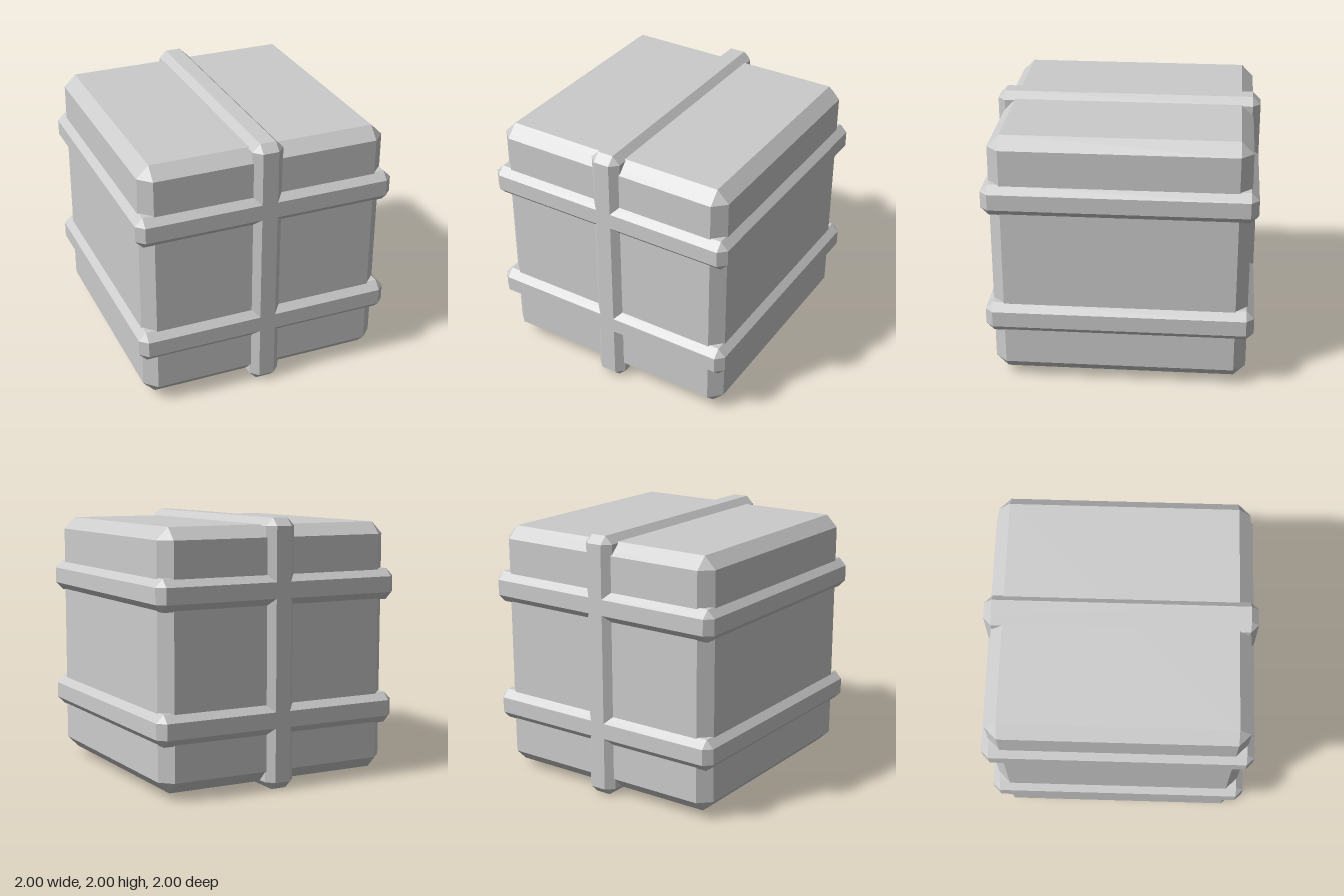
import * as THREE from 'three';
import { ConvexGeometry } from 'three/addons/geometries/ConvexGeometry.js';

const material = new THREE.MeshStandardMaterial({ color: 0xcccccc, flatShading: true });

// Box with flat bevels: each corner becomes three points, one on each adjoining face.
function chamferedBox(name, hx, hy, hz, bevel, y) {
  const points = [];
  for (const sx of [-1, 1]) for (const sy of [-1, 1]) for (const sz of [-1, 1]) {
    for (let axis = 0; axis < 3; axis++) {
      const inset = [bevel, bevel, bevel];
      inset[axis] = 0;
      points.push(new THREE.Vector3(sx * (hx - inset[0]), sy * (hy - inset[1]), sz * (hz - inset[2])));
    }
  }
  const mesh = new THREE.Mesh(new ConvexGeometry(points), material);
  mesh.name = name;
  mesh.position.y = y;
  return mesh;
}

export function createModel() {
  const model = new THREE.Group();
  model.name = 'strappedCrate';

  // Main block
  model.add(chamferedBox('body', 0.95, 0.95, 0.95, 0.09, 1));

  // Upright strap running round the front, top, back and bottom
  model.add(chamferedBox('uprightStrap', 0.118, 1, 1, 0.058, 1));

  // Two level straps running round the sides
  model.add(chamferedBox('upperStrap', 1, 0.118, 1, 0.058, 1.48));
  model.add(chamferedBox('lowerStrap', 1, 0.118, 1, 0.058, 0.527));

  return model;
}
